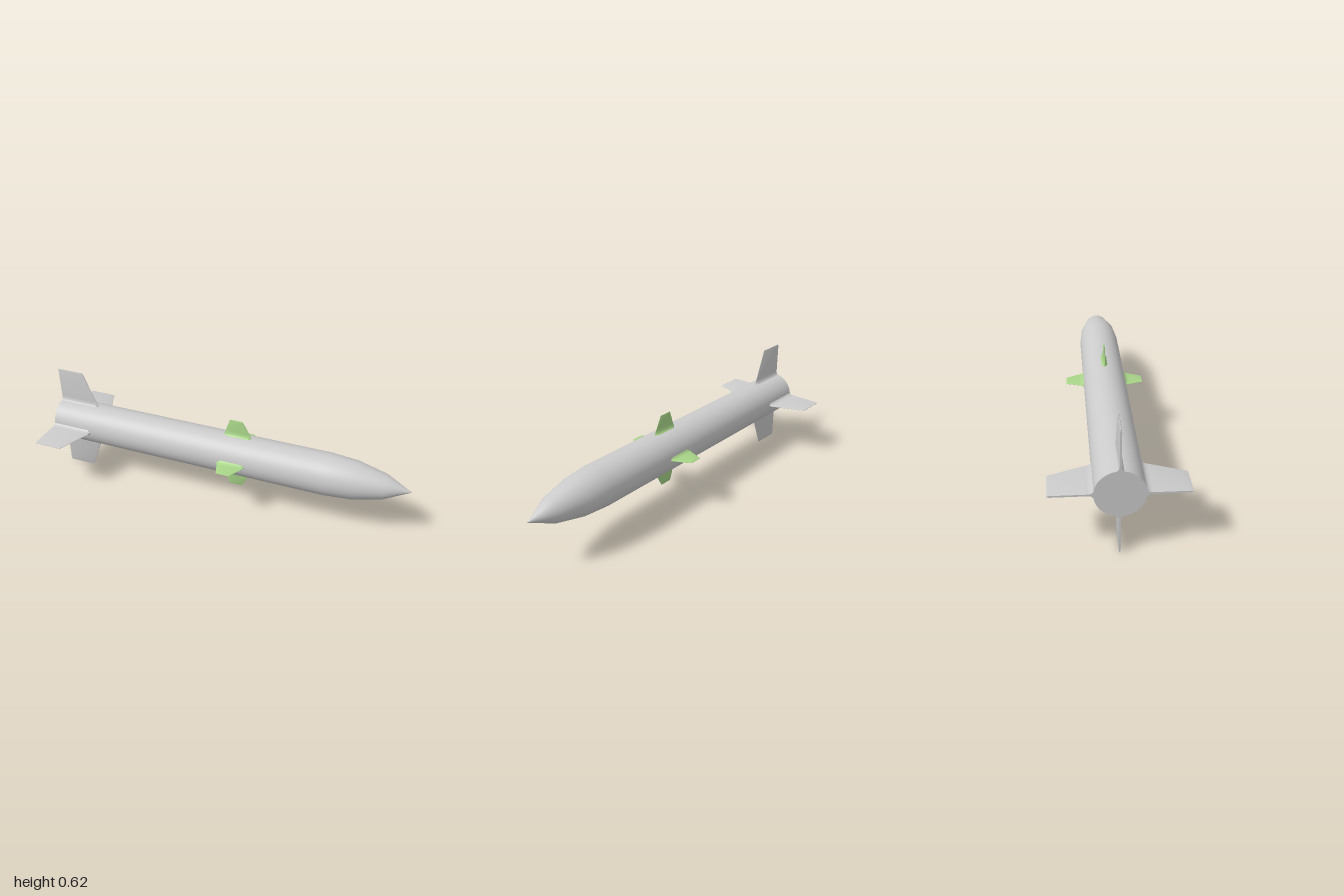
import * as THREE from 'three';
import { toCreasedNormals } from 'three/addons/utils/BufferGeometryUtils.js';

const AXIS_Y = 0.308;
const R = 0.113;

// Surface of revolution along +x from [x, radius] pairs
function revolve(profile) {
  const points = profile.map(([x, r]) => new THREE.Vector2(r, x));
  return new THREE.LatheGeometry(points, 64).rotateZ(-Math.PI / 2);
}

// Fin pointing up +y: six-sided sections, flared at the root and bevelled at the tip
function finGeometry({ span, root, tip, bevel, rearEdge }) {
  const stations = [
    [R - 0.01, 0.02], [R, 0.015], [R + 0.004, 0.0105], [R + 0.009, 0.007], [R + 0.016, 0.005],
    [R + 0.024, 0.0042], [span - 0.012, 0.0042], [span, 0.001],
  ];
  const rings = stations.map(([y, t]) => {
    const k = Math.max(0, (y - R) / (span - R));
    const back = THREE.MathUtils.lerp(root[0], tip[0], k);
    const front = THREE.MathUtils.lerp(root[1], tip[1], k);
    const f = t * 0.15, b = t * rearEdge;
    return [
      [front, f], [front, -f], [front - bevel, -t], [back + bevel, -t],
      [back, -b], [back, b], [back + bevel, t], [front - bevel, t],
    ].map(([x, z]) => [x, y, z]);
  });
  const n = rings[0].length;
  const pos = [];
  const tri = (a, b, c) => pos.push(...a, ...b, ...c);
  for (let s = 0; s < rings.length - 1; s++) {
    for (let i = 0; i < n; i++) {
      const j = (i + 1) % n;
      tri(rings[s][i], rings[s][j], rings[s + 1][j]);
      tri(rings[s][i], rings[s + 1][j], rings[s + 1][i]);
    }
  }
  const top = rings[rings.length - 1];
  for (let i = 1; i < n - 1; i++) tri(top[0], top[i], top[i + 1]);
  const geo = new THREE.BufferGeometry();
  geo.setAttribute('position', new THREE.Float32BufferAttribute(pos, 3));
  return toCreasedNormals(geo, 0.5);
}

export function createModel() {
  const grey = new THREE.MeshStandardMaterial({ color: 0xcccccc });
  const green = new THREE.MeshStandardMaterial({ color: 0xa8d488 });
  const model = new THREE.Group();
  model.name = 'missile';
  model.position.y = AXIS_Y;

  const add = (name, geometry, material) => {
    const mesh = new THREE.Mesh(geometry, material);
    mesh.name = name;
    model.add(mesh);
    return mesh;
  };

  // Tube with the rounded nose
  add('body', revolve([[-1, R], [0, R], [0.57, R], [0.71, 0.102], [0.865, 0.066], [0.93, 0.034]]), grey);
  // Pointed tip
  add('noseTip', revolve([[0.93, 0.034], [1, 0]]), grey);
  // Flat rear end
  add('tailCap', new THREE.CircleGeometry(R, 64).rotateY(-Math.PI / 2).translate(-1, 0, 0), grey);

  // Four tail fins and four small mid fins in a cross
  const tailFin = finGeometry({ span: 0.308, root: [-1, -0.77], tip: [-1, -0.848], bevel: 0.012, rearEdge: 1 });
  const midFin = finGeometry({ span: 0.207, root: [-0.005, 0.148], tip: [0.026, 0.098], bevel: 0.018, rearEdge: 0.15 });
  for (let i = 0; i < 4; i++) {
    add('tailFin' + (i + 1), tailFin, grey).rotation.x = i * Math.PI / 2;
    add('midFin' + (i + 1), midFin, green).rotation.x = i * Math.PI / 2;
  }

  const group = new THREE.Group();
  group.add(model);
  return group;
}
